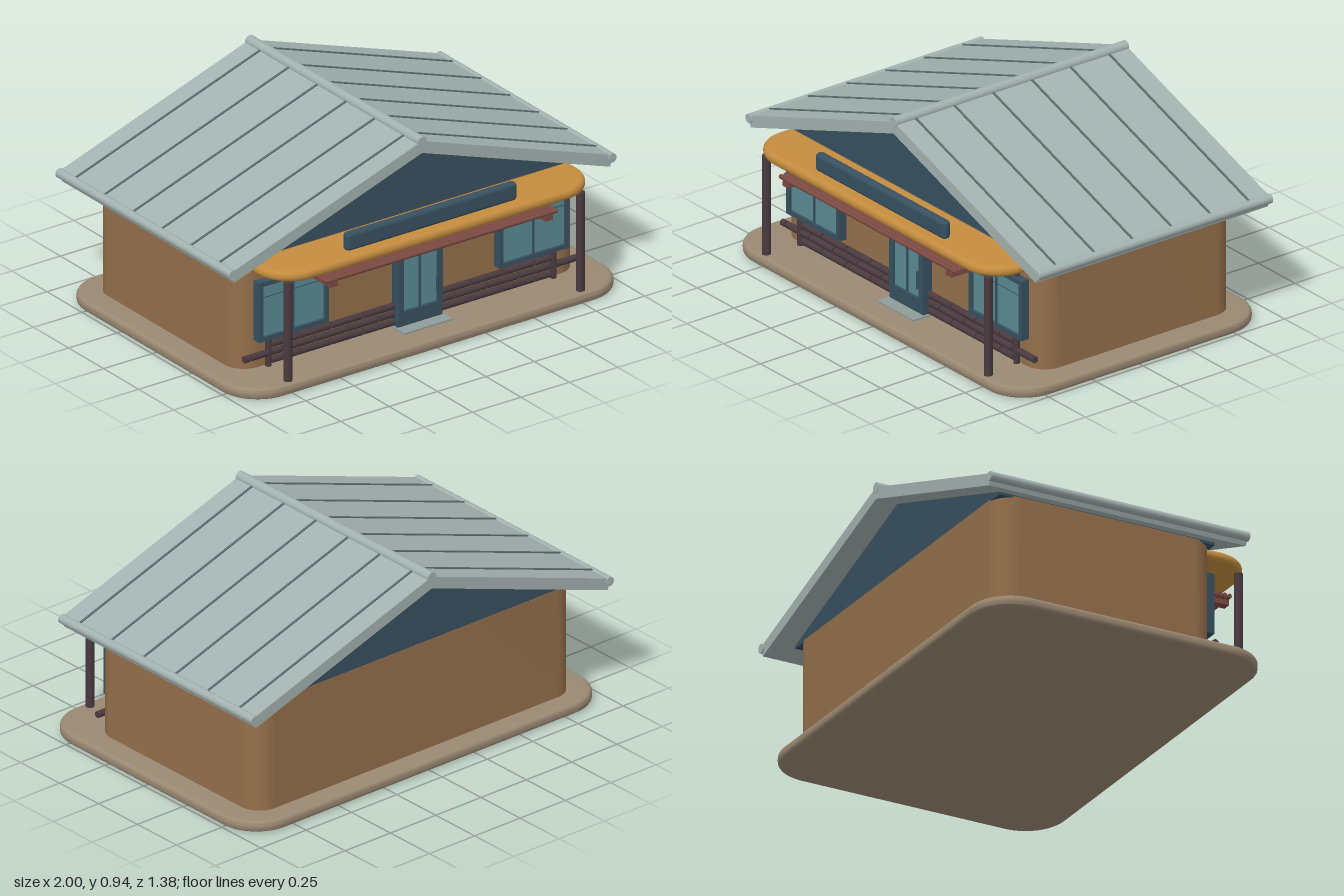
import * as THREE from 'three';
import { toCreasedNormals } from 'three/addons/utils/BufferGeometryUtils.js';
import { RoundedBoxGeometry } from 'three/addons/geometries/RoundedBoxGeometry.js';

const material = (name, color) => {
  const m = new THREE.MeshStandardMaterial({ color });
  m.name = name;
  return m;
};

// Rounded rectangle in plan, extruded upwards from y0 to y1
function roundedSlab(x0, x1, z0, z1, r, y0, y1, bevel) {
  const s = new THREE.Shape();
  const a = x0 + bevel, b = x1 - bevel, c = -z1 + bevel, d = -z0 - bevel;
  s.moveTo(a + r, c);
  s.lineTo(b - r, c);
  s.absarc(b - r, c + r, r, -Math.PI / 2, 0);
  s.lineTo(b, d - r);
  s.absarc(b - r, d - r, r, 0, Math.PI / 2);
  s.lineTo(a + r, d);
  s.absarc(a + r, d - r, r, Math.PI / 2, Math.PI);
  s.lineTo(a, c + r);
  s.absarc(a + r, c + r, r, Math.PI, Math.PI * 1.5);
  const g = new THREE.ExtrudeGeometry(s, {
    depth: y1 - y0 - 2 * bevel, curveSegments: 14, bevelEnabled: bevel > 0,
    bevelThickness: bevel, bevelSize: bevel, bevelSegments: 4,
  });
  g.rotateX(-Math.PI / 2);
  g.translate(0, y0 + bevel, 0);
  return toCreasedNormals(g, 0.7);
}

// Outline in x and y, extruded between two z values
function prism(points, z0, z1) {
  const s = new THREE.Shape(points.map(([x, y]) => new THREE.Vector2(x, y)));
  const g = new THREE.ExtrudeGeometry(s, { depth: z1 - z0, bevelEnabled: false });
  return g.translate(0, 0, z0);
}

export function createModel() {
  const house = new THREE.Group();
  house.name = 'house';

  const stone = material('stone', 0x9a8872);
  const wall = material('wall tan', 0x946f4b);
  const roofGrey = material('roof grey', 0xa3b2b0);
  const seamGrey = material('seam grey', 0x5f6e6f);
  const navy = material('navy', 0x375060);
  const amber = material('amber', 0xc48c3e);
  const glass = material('glass', 0x5a8a93);
  const wood = material('dark wood', 0x4a3a3f);
  const redWood = material('red wood', 0x7c4a42);
  const pale = material('pale grey', 0x8f9c9a);

  const add = (name, geometry, mat, parent = house) => {
    const m = new THREE.Mesh(geometry, mat);
    m.name = name;
    parent.add(m);
    return m;
  };
  const box = (name, x0, x1, y0, y1, z0, z1, mat, parent) =>
    add(name, new THREE.BoxGeometry(x1 - x0, y1 - y0, z1 - z0)
      .translate((x0 + x1) / 2, (y0 + y1) / 2, (z0 + z1) / 2), mat, parent);
  const rod = (name, axis, length, r, x, y, z, mat, parent) => {
    const g = new THREE.CylinderGeometry(r, r, length, 16);
    if (axis === 'x') g.rotateZ(Math.PI / 2);
    if (axis === 'z') g.rotateX(Math.PI / 2);
    return add(name, g.translate(x, y, z), mat, parent);
  };

  // Base, walls and gable
  add('base', roundedSlab(-0.99, 0.99, -0.68, 0.668, 0.17, 0, 0.05, 0.018), stone);
  add('walls', roundedSlab(-0.88, 0.88, -0.585, 0.45, 0.1, 0.045, 0.555, 0), wall);
  add('gable', prism([[-0.875, 0.548], [0.875, 0.548], [0.875, 0.566], [0, 0.863], [-0.875, 0.566]],
    -0.583, 0.449), navy);

  // Roof with ridge, eave pipes and seams
  const roof = new THREE.Group();
  roof.name = 'roof';
  house.add(roof);
  add('roofPanels', prism([[-0.985, 0.578], [-0.97, 0.528], [0, 0.86], [0.97, 0.528],
    [0.985, 0.578], [0, 0.915]], -0.685, 0.545), roofGrey, roof);
  rod('ridge', 'z', 1.234, 0.024, 0, 0.911, -0.07, roofGrey, roof);
  const angle = Math.atan2(0.337, 0.985);
  for (const side of [-1, 1]) {
    rod('eavePipe', 'z', 1.24, 0.021, side * 0.979, 0.567, -0.07, roofGrey, roof);
    for (let i = 0; i < 6; i++) {
      const seam = add('roofSeam', new THREE.BoxGeometry(1.01, 0.012, 0.009), seamGrey, roof);
      seam.position.set(side * 0.4925, 0.7455, 0.443 - i * 0.205);
      seam.rotation.z = -side * angle;
    }
  }

  // Porch canopy and blank board
  add('canopy', roundedSlab(-0.83, 0.83, 0.25, 0.675, 0.15, 0.506, 0.553, 0.02), amber);
  add('board', new RoundedBoxGeometry(0.88, 0.085, 0.042, 4, 0.018).translate(0, 0.59, 0.6), navy);

  // Slatted screen below the canopy
  const screen = new THREE.Group();
  screen.name = 'slatScreen';
  house.add(screen);
  for (let i = 0; i < 10; i++)
    rod('slat', 'x', 1.2, 0.01, 0, 0.478, 0.47 + i * 0.0228, redWood, screen);
  for (const side of [-1, 1]) {
    box('screenBeam', side * 0.555 - 0.02, side * 0.555 + 0.02, 0.447, 0.47, 0.44, 0.685, redWood, screen);
    box('screenHanger', side * 0.5 - 0.02, side * 0.5 + 0.02, 0.484, 0.51, 0.49, 0.515, pale, screen);
    rod('post', 'y', 0.46, 0.019, side * 0.755, 0.275, 0.63, wood);
    rod('pilaster', 'y', 0.46, 0.014, side * 0.735, 0.275, 0.464, wood);
  }

  // Window or door: four frame bars, a pane and a centre bar
  function glazed(name, x0, x1, y0, y1, t, depth) {
    const g = new THREE.Group();
    g.name = name;
    house.add(g);
    const z = 0.44, front = 0.45 + depth, mid = (x0 + x1) / 2;
    box('frameLeft', x0, x0 + t, y0, y1, z, front, navy, g);
    box('frameRight', x1 - t, x1, y0, y1, z, front, navy, g);
    box('frameTop', x0 + t, x1 - t, y1 - t, y1, z, front, navy, g);
    box('frameBottom', x0 + t, x1 - t, y0, y0 + t, z, front, navy, g);
    box('pane', x0 + t, x1 - t, y0 + t, y1 - t, z, front - 0.012, glass, g);
    box('centreBar', mid - 0.004, mid + 0.004, y0 + t, y1 - t, z, front - 0.005, navy, g);
    box('crossBar', x0 + t, x1 - t, y1 - 0.078, y1 - 0.075, z, front - 0.01, navy, g);
    return g;
  }
  glazed('windowRight', -0.8, -0.44, 0.18, 0.455, 0.02, 0.04);
  glazed('windowLeft', 0.44, 0.8, 0.18, 0.455, 0.02, 0.04);
  const door = glazed('door', -0.087, 0.14, 0.1, 0.468, 0.026, 0.05);
  rod('handle', 'y', 0.08, 0.005, 0.108, 0.21, 0.502, navy, door);
  box('doorSill', -0.09, 0.14, 0.05, 0.1, 0.44, 0.495, navy, door);
  box('doorMat', -0.1, 0.15, 0.049, 0.057, 0.45, 0.555, pale, door);

  // Staggered round logs along the foot of the front wall
  const logs = new THREE.Group();
  logs.name = 'logCladding';
  house.add(logs);
  const rows = [[0.072, 0.72, 0], [0.109, 0.86, 0.08], [0.146, 0.72, 0]];
  for (const [y, end, shift] of rows) {
    for (const side of [-1, 1]) {
      const start = side < 0 ? 0.09 : 0.14;
      for (let a = start - shift; a < end - 0.01; a += 0.165) {
        const from = Math.max(a, start), to = Math.min(a + 0.157, end);
        if (to - from < 0.02) continue;
        rod('log', 'x', to - from, 0.015, side * (from + to) / 2, y, 0.462, wood, logs);
      }
    }
  }
  return house;
}
